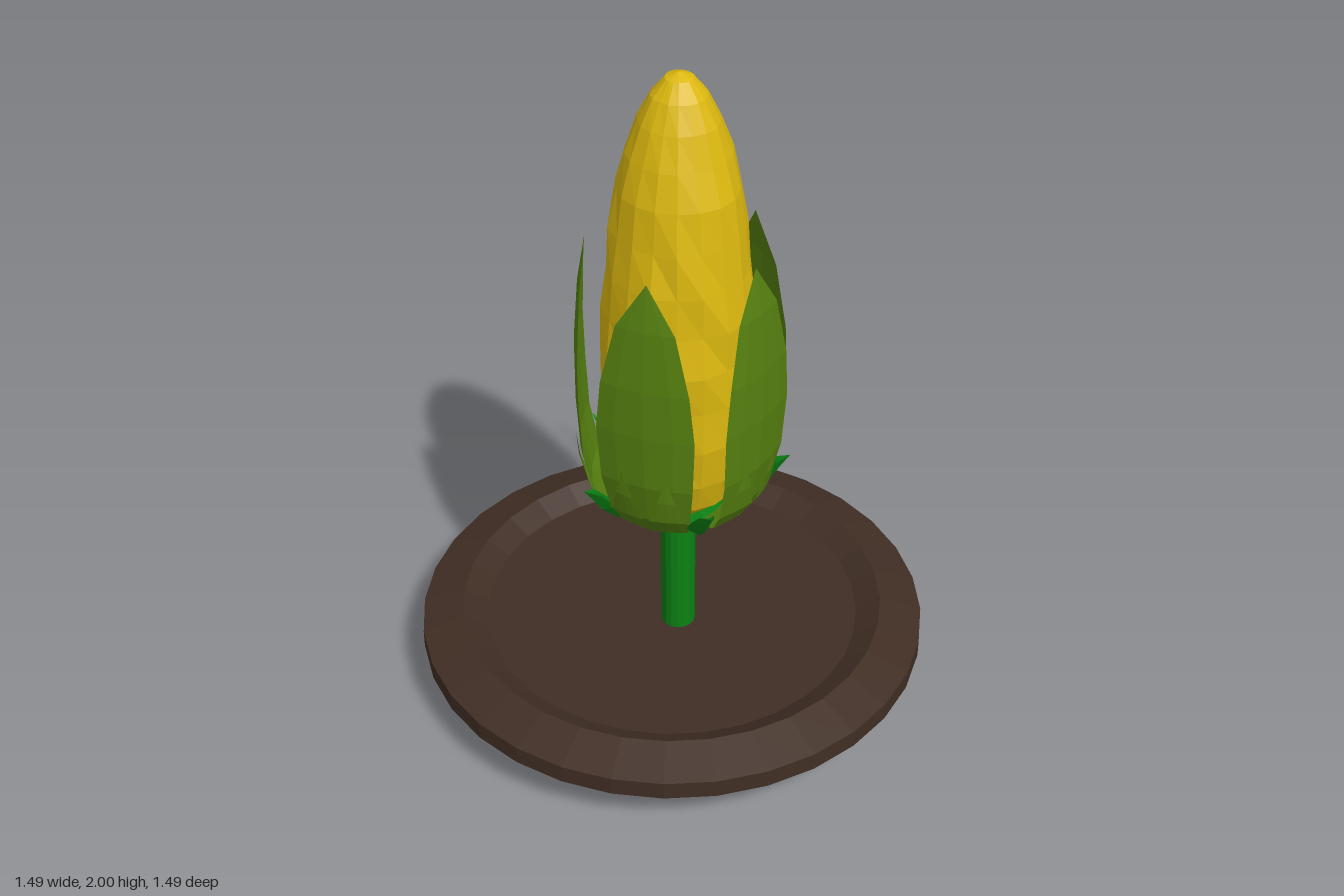
import * as THREE from 'three';

const mat = (name, color, extra = {}) => {
  const m = new THREE.MeshStandardMaterial({ color, flatShading: true, ...extra });
  m.name = name;
  return m;
};

const flat = (geo) => {
  const g = geo.index ? geo.toNonIndexed() : geo;
  g.computeVertexNormals();
  return g;
};

const lathe = (profile, sides) =>
  new THREE.LatheGeometry(profile.map(([r, y]) => new THREE.Vector2(r, y)), sides);

// Skin between cross-sections, each a list of [x, y, z] points
function loft(sections, closed) {
  const n = sections[0].length, index = [];
  for (let i = 0; i < sections.length - 1; i++) {
    for (let j = 0; j < (closed ? n : n - 1); j++) {
      const k = (j + 1) % n, a = i * n, b = a + n;
      index.push(a + j, a + k, b + k, a + j, b + k, b + j);
    }
  }
  const g = new THREE.BufferGeometry();
  g.setAttribute('position', new THREE.Float32BufferAttribute(sections.flat(2), 3));
  g.setIndex(index);
  return flat(g);
}

// Leaf from rows of [height, half width, distance out], edges bent inward
const leaf = (rows, bend) => loft(rows.map(([y, w, r]) =>
  [-1, -0.6, 0, 0.6, 1].map((t) => [t * w, y, r - bend * t * t * (w / 0.14)])), false);

// Bumpy cob with seeded radius variation
function cobGeometry() {
  const profile = [[0, 0.65], [0.1, 0.66], [0.165, 0.72], [0.195, 0.82], [0.21, 0.95], [0.217, 1.08],
    [0.215, 1.2], [0.208, 1.32], [0.198, 1.44], [0.184, 1.56], [0.165, 1.68], [0.139, 1.78],
    [0.11, 1.87], [0.075, 1.94], [0.038, 1.985], [0, 2]];
  const sides = 18, n = profile.length;
  const g = lathe(profile, sides), p = g.attributes.position;
  for (let i = 0; i < p.count; i++) {
    const col = Math.floor(i / n) % sides, row = i % n;
    const s = Math.sin(col * 12.9898 + row * 78.233) * 43758.5453;
    const k = 1 + (s - Math.floor(s) - 0.5) * 0.06;
    p.setX(i, p.getX(i) * k);
    p.setZ(i, p.getZ(i) * k);
  }
  return flat(g);
}

export function createModel() {
  const root = new THREE.Group();
  const yellow = mat('cob yellow', 0xdcb80f);
  const olive = mat('husk olive', 0x568010, { side: THREE.DoubleSide });
  const green = mat('stem green', 0x0c8013, { side: THREE.DoubleSide });
  const brown = mat('plate brown', 0x402e24);

  const add = (parent, name, geo, material) => {
    const m = new THREE.Mesh(geo, material);
    m.name = name;
    parent.add(m);
    return m;
  };

  // Round plate with a bevelled rim and a sunken floor
  add(root, 'plate', flat(lathe([[0, 0.14], [0.745, 0.14], [0.745, 0.195], [0.622, 0.236],
    [0.552, 0.195], [0, 0.195]], 32)), brown);

  const plant = new THREE.Group();
  plant.name = 'plant';
  plant.position.set(0.02, 0, 0.055);
  root.add(plant);

  // Stem flaring into the base of the bud
  const stem = mat('stem green', 0x0c8013);
  stem.flatShading = false;
  stem.dispose();
  add(plant, 'stem', flat(lathe([[0, 0], [0.05, 0], [0.05, 0.605], [0.085, 0.642],
    [0.13, 0.65], [0, 0.67]], 16)), green);

  add(plant, 'cob', cobGeometry(), yellow);

  // Five tall husk leaves, each with two short pointed leaflets at its foot
  const husk = leaf([[0.66, 0.04, 0.13], [0.69, 0.085, 0.2], [0.75, 0.115, 0.245], [0.88, 0.132, 0.275],
    [1.05, 0.14, 0.285], [1.2, 0.125, 0.285], [1.38, 0.083, 0.272], [1.515, 0, 0.25]], 0.018);
  const leaflet = leaf([[0.655, 0.03, 0.14], [0.69, 0.055, 0.215], [0.76, 0.05, 0.262],
    [0.84, 0.026, 0.282], [0.925, 0, 0.29]], 0.01);

  // Bright sepals curling out between the husk leaves: [out, height, half width, thickness]
  const sepal = loft([[0.05, 0.65, 0.03, 0.012], [0.15, 0.65, 0.04, 0.014], [0.2, 0.675, 0.04, 0.018],
    [0.25, 0.725, 0.034, 0.02], [0.285, 0.775, 0.022, 0.014], [0.315, 0.805, 0, 0]]
    .map(([r, y, w, t]) => [[-w, y + t * 0.5, r - t], [0, y - t * 0.4, r + t * 0.4],
      [w, y + t * 0.5, r - t], [0, y + t * 0.3, r - t * 0.6]]), true);

  for (let i = 0; i < 5; i++) {
    const step = (i * Math.PI * 2) / 5;
    const face = (mesh, angle) => { mesh.rotation.y = Math.PI / 2 - angle; };
    const huskAngle = step + Math.PI / 5;
    face(add(plant, 'huskLeaf', husk, olive), huskAngle);
    for (const side of [-1, 1]) face(add(plant, 'leaflet', leaflet, olive), huskAngle + side * 0.22);
    face(add(plant, 'sepal', sepal, green), step);
  }
  return root;
}
